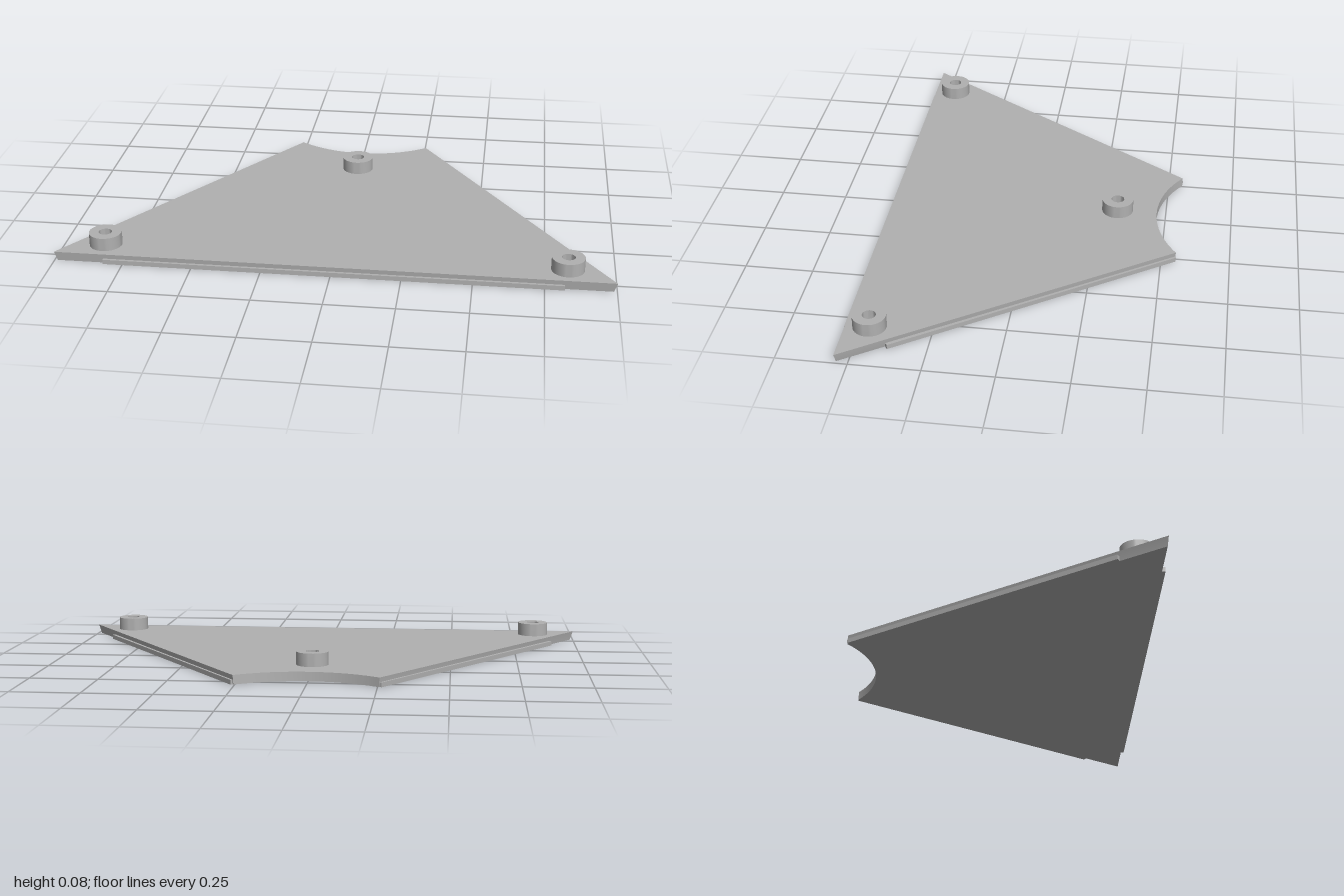
import * as THREE from 'three';
import { toCreasedNormals } from 'three/addons/utils/BufferGeometryUtils.js';

const TOP = 0.034, LIP = 0.017, BOSS_TOP = 0.083;

// Flat wedge with a concave back edge; outer walls lean in towards the bottom
function plateGeometry() {
  const cx = 0.257, cz = -0.553, radius = 0.427, arcZ = -0.894;
  const a = Math.atan2(arcZ - cz, cx);
  const shape = new THREE.Shape();
  shape.moveTo(-1, -0.545);
  shape.lineTo(1, -0.545);
  shape.lineTo(cx, -cz);
  shape.absarc(0, -arcZ, radius, a, -Math.PI - a, true);
  shape.closePath();
  const geo = new THREE.ExtrudeGeometry(shape, { depth: TOP, bevelEnabled: false, curveSegments: 32 });
  geo.rotateX(-Math.PI / 2);
  const p = geo.attributes.position;
  for (let i = 0; i < p.count; i++) {
    if (p.getY(i) > TOP / 2) continue;
    p.setX(i, p.getX(i) * 0.989);
    if (p.getZ(i) > 0) p.setZ(i, p.getZ(i) - 0.004);
  }
  return toCreasedNormals(geo, 0.5);
}

// Hollow stud turned around its axis
function bossGeometry() {
  const r = 0.059, hole = 0.024, base = TOP - 0.002;
  const profile = [[r, base], [r, BOSS_TOP], [hole, BOSS_TOP], [hole, TOP + 0.001], [0, TOP + 0.001]];
  const geo = new THREE.LatheGeometry(profile.map(([x, y]) => new THREE.Vector2(x, y)), 40);
  return toCreasedNormals(geo, 0.5);
}

export function createModel() {
  const group = new THREE.Group();
  const grey = new THREE.MeshStandardMaterial({ color: 0xb0b0b0 });
  const add = (name, geo, x = 0, y = 0, z = 0) => {
    const mesh = new THREE.Mesh(geo, grey);
    mesh.name = name;
    mesh.position.set(x, y, z);
    group.add(mesh);
    return mesh;
  };

  add('plate', plateGeometry());

  // Thin lips along the lower half of the three straight edges
  add('frontLip', new THREE.BoxGeometry(1.64, LIP, 0.03), 0, LIP / 2, 0.538);
  const start = new THREE.Vector2(0.259, -0.55), end = new THREE.Vector2(0.898, 0.39);
  const dir = end.clone().sub(start);
  const length = dir.length();
  const angle = Math.atan2(dir.x, dir.y);
  for (const side of [1, -1]) {
    const lip = add(side > 0 ? 'leftLip' : 'rightLip', new THREE.BoxGeometry(0.026, LIP, length),
      side * ((start.x + end.x) / 2 - 0.005), LIP / 2, (start.y + end.y) / 2 + 0.003);
    lip.rotation.y = side * angle;
  }

  // Three mounting studs
  const boss = bossGeometry();
  add('backStud', boss, 0, 0, -0.317);
  add('leftStud', boss, 0.83, 0, 0.46);
  add('rightStud', boss, -0.83, 0, 0.46);

  return group;
}
